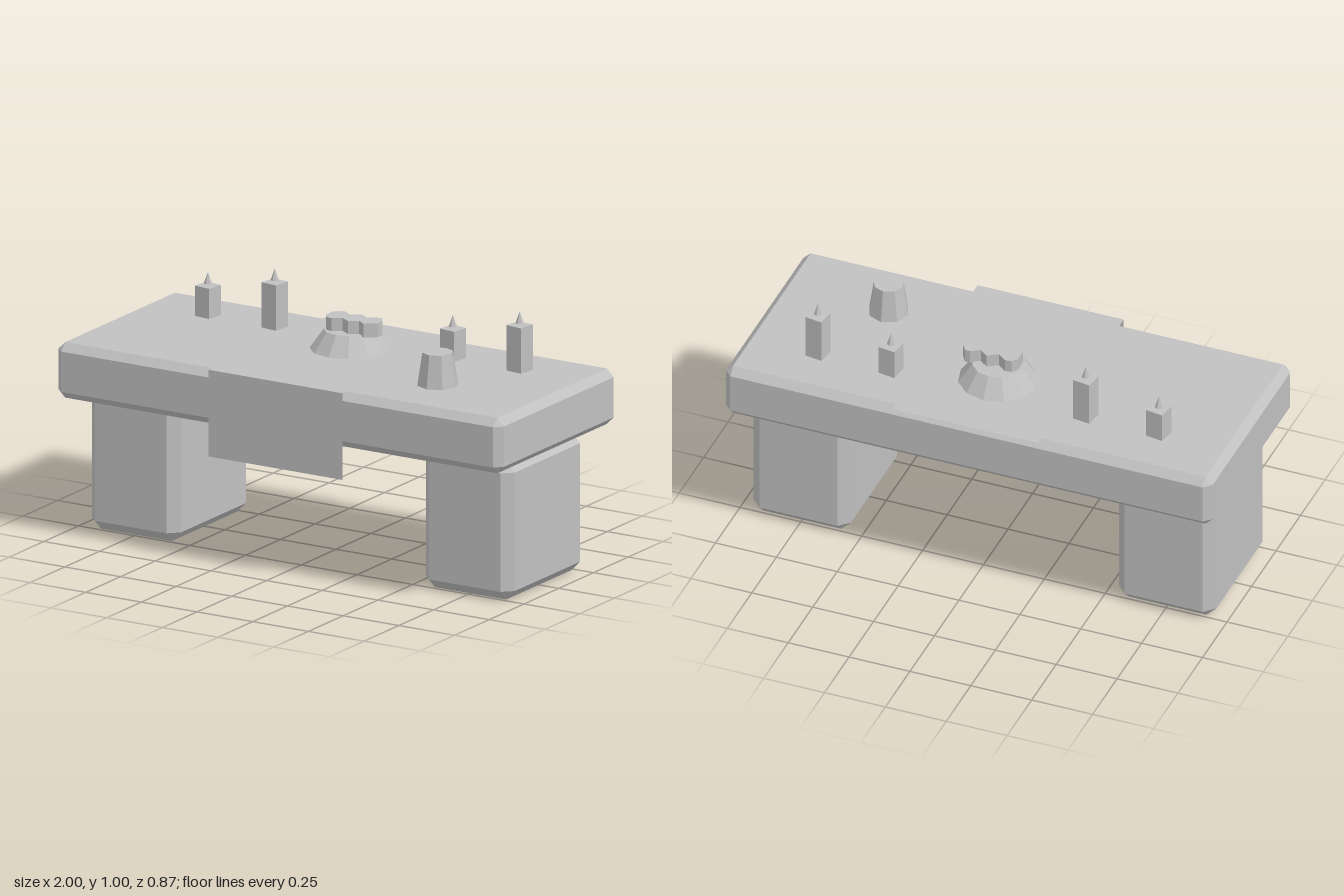
import * as THREE from 'three';
import { ConvexGeometry } from 'three/addons/geometries/ConvexGeometry.js';

const stone = new THREE.MeshStandardMaterial({ color: 0xc0c0c0, flatShading: true });
stone.name = 'grey';
const cloth = new THREE.MeshStandardMaterial({ color: 0xc0c0c0, side: THREE.DoubleSide });
cloth.name = 'grey cloth';

// Box with flat chamfers on every edge
function chamferBox(w, h, d, c) {
  const half = [w / 2, h / 2, d / 2];
  const points = [];
  for (const sx of [-1, 1]) for (const sy of [-1, 1]) for (const sz of [-1, 1]) {
    for (let full = 0; full < 3; full++) {
      const p = [sx, sy, sz].map((s, i) => s * (half[i] - (i === full ? 0 : c)));
      points.push(new THREE.Vector3(...p));
    }
  }
  return new ConvexGeometry(points);
}

export function createModel() {
  const group = new THREE.Group();
  group.name = 'altarTable';

  function add(name, geometry, x, y, z, material = stone) {
    const mesh = new THREE.Mesh(geometry, material);
    mesh.name = name;
    mesh.position.set(x, y, z);
    group.add(mesh);
    return mesh;
  }

  // Slab and two block legs
  add('tableTop', chamferBox(2, 0.22, 0.85, 0.03), 0, 0.66, 0);
  for (const s of [-1, 1]) {
    add(s > 0 ? 'leftLeg' : 'rightLeg', chamferBox(0.4, 0.55, 0.55, 0.04), s * 0.75, 0.275, 0);
  }

  // Runner across the top, hanging down at the front only
  add('runnerTop', new THREE.PlaneGeometry(0.6, 0.87).rotateX(-Math.PI / 2), 0, 0.774, 0, cloth);
  add('runnerDrape', new THREE.PlaneGeometry(0.6, 0.344), 0, 0.602, 0.435, cloth);

  // Square candles, turned slightly, with pointed flames
  for (const [x, top] of [[-0.7, 0.89], [-0.4, 0.95], [0.4, 0.89], [0.7, 0.95]]) {
    const h = top - 0.77;
    const candle = add('candle', new THREE.CylinderGeometry(0.05, 0.05, h, 4), x, 0.77 + h / 2, -0.2);
    candle.rotation.y = 0.644;
    add('flame', new THREE.ConeGeometry(0.016, 0.046, 6), x, top + 0.03, -0.2);
  }

  // Round pedestal with a scalloped ornament on it
  add('pedestal', new THREE.CylinderGeometry(0.1, 0.157, 0.08, 12), 0, 0.81, -0.1);
  const outline = [
    [-0.088, 0.02], [-0.07, 0.042], [-0.045, 0.045], [-0.01, 0.018], [0.03, 0.045], [0.065, 0.018],
    [0.1, 0.04], [0.12, 0.04], [0.142, 0.01], [0.142, -0.025], [0.1, -0.06], [0.065, -0.035],
    [0.03, -0.06], [-0.01, -0.035], [-0.045, -0.06], [-0.07, -0.055], [-0.088, -0.03],
  ].map(([x, y]) => new THREE.Vector2(x, y));
  const ornament = new THREE.ExtrudeGeometry(new THREE.Shape(outline), { depth: 0.055, bevelEnabled: false });
  ornament.rotateX(-Math.PI / 2);
  add('scallopedOrnament', ornament, 0, 0.846, -0.098);

  // Tapered cup
  add('cup', new THREE.CylinderGeometry(0.06, 0.08, 0.13, 8), 0.55, 0.842, 0.15);

  return group;
}
